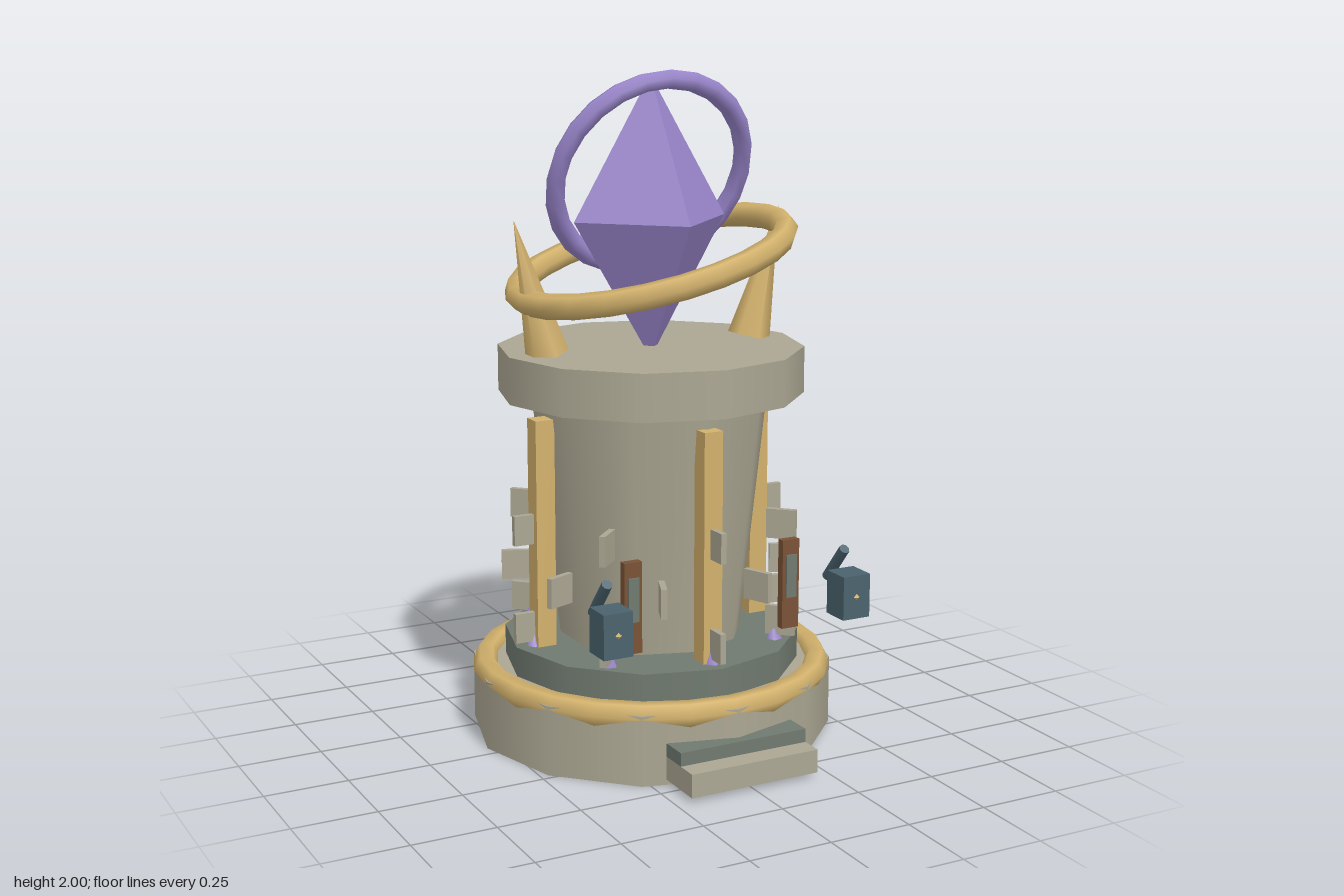
import * as THREE from 'three';

const mat = (color) => new THREE.MeshStandardMaterial({ color, roughness: 0.85 });

export function createModel() {
  const stone = mat(0xaca793), darkStone = mat(0x707a70), gold = mat(0xd2b16c);
  const violet = mat(0x9a86cc), slate = mat(0x4a636e), wood = mat(0x7a5236);
  const model = new THREE.Group();
  model.name = 'crystalTower';

  // Everything round shares the tower axis, set slightly back of centre
  const tower = new THREE.Group();
  tower.name = 'tower';
  tower.position.z = -0.045;
  model.add(tower);

  const add = (parent, name, geometry, material, x = 0, y = 0, z = 0) => {
    const mesh = new THREE.Mesh(geometry, material);
    mesh.name = name;
    mesh.position.set(x, y, z);
    parent.add(mesh);
    return mesh;
  };
  const box = (w, h, d) => new THREE.BoxGeometry(w, h, d);
  const drum = (top, bottom, y0, y1, sides) =>
    new THREE.CylinderGeometry(top, bottom, y1 - y0, sides).translate(0, (y0 + y1) / 2, 0);

  // Plinth, shaft and cap
  add(tower, 'base', drum(0.55, 0.55, 0, 0.21, 12), stone);
  add(tower, 'upperBase', drum(0.45, 0.45, 0.2, 0.3, 12), darkStone);
  add(tower, 'shaft', drum(0.36, 0.28, 0.3, 1.04, 10), stone);
  add(tower, 'cap', drum(0.46, 0.46, 1.04, 1.18, 12), stone);

  // Gold ring around the plinth
  const baseRing = new THREE.TorusGeometry(0.51, 0.04, 6, 24).rotateX(Math.PI / 2);
  add(tower, 'baseRing', baseRing, gold, 0, 0.2, 0);

  // Things set around the axis, turned to face outward
  const around = (name, count, radius, y, geometry, material, offset = 0) => {
    for (let i = 0; i < count; i++) {
      const a = offset + (i / count) * Math.PI * 2;
      const mesh = add(tower, name, geometry, material, Math.sin(a) * radius, y, Math.cos(a) * radius);
      mesh.rotation.y = a;
    }
  };
  around('pillar', 4, 0.363, 0.645, box(0.06, 0.69, 0.06), gold);
  around('smallCrystal', 8, 0.392, 0.328, new THREE.ConeGeometry(0.025, 0.06, 5), violet);

  // Three staggered rows of thin bricks standing out from the shaft
  for (let row = 0; row < 3; row++) {
    around('brick', 8, 0.41, 0.36 + row * 0.15, box(0.018, 0.09, 0.09), stone, (row % 2) * Math.PI / 8);
  }

  // Horns leaning outward on the cap
  for (const side of [-1, 1]) {
    const horn = add(tower, side > 0 ? 'leftHorn' : 'rightHorn',
      new THREE.ConeGeometry(0.065, 0.41, 6), gold, side * 0.39, 1.38, 0);
    horn.rotation.z = -side * 0.25;
  }

  // Floating crystal with its two tilted rings
  add(tower, 'crystal', new THREE.OctahedronGeometry(1).scale(0.25, 0.42, 0.25), violet, 0, 1.56, 0);
  const goldRing = add(tower, 'tiltedGoldRing',
    new THREE.TorusGeometry(0.41, 0.038, 6, 24).rotateX(Math.PI / 2), gold, 0, 1.44, 0);
  goldRing.rotation.z = 0.26;
  const violetRing = add(tower, 'tiltedVioletRing',
    new THREE.TorusGeometry(0.305, 0.03, 6, 24), violet, 0, 1.69, 0);
  violetRing.rotation.x = 0.4;

  // Front steps
  add(model, 'lowerStep', box(0.41, 0.07, 0.2), stone, 0, 0.05, 0.502);
  add(model, 'upperStep', box(0.41, 0.04, 0.14), darkStone, 0, 0.105, 0.465);

  // Shutters and lanterns, mirrored left and right
  for (const side of [-1, 1]) {
    const shutter = new THREE.Group();
    shutter.name = side > 0 ? 'leftShutter' : 'rightShutter';
    shutter.position.x = side * 0.26;
    add(shutter, 'shutterFrame', box(0.056, 0.27, 0.026), wood, 0, 0.505, 0.338);
    add(shutter, 'shutterPanel', box(0.034, 0.13, 0.014), darkStone, 0, 0.53, 0.35);

    const lantern = new THREE.Group();
    lantern.name = side > 0 ? 'leftLantern' : 'rightLantern';
    lantern.position.x = side * 0.387;
    add(lantern, 'lanternBox', box(0.09, 0.13, 0.09), slate, 0, 0.49, 0.467);
    add(lantern, 'lanternKnob', new THREE.OctahedronGeometry(0.01), gold, 0, 0.49, 0.512);
    const arm = add(lantern, 'lanternArm',
      new THREE.CylinderGeometry(0.016, 0.016, 0.14, 8), slate, 0, 0.565, 0.397);
    arm.rotation.x = 0.7;
    model.add(shutter, lantern);
  }
  return model;
}
